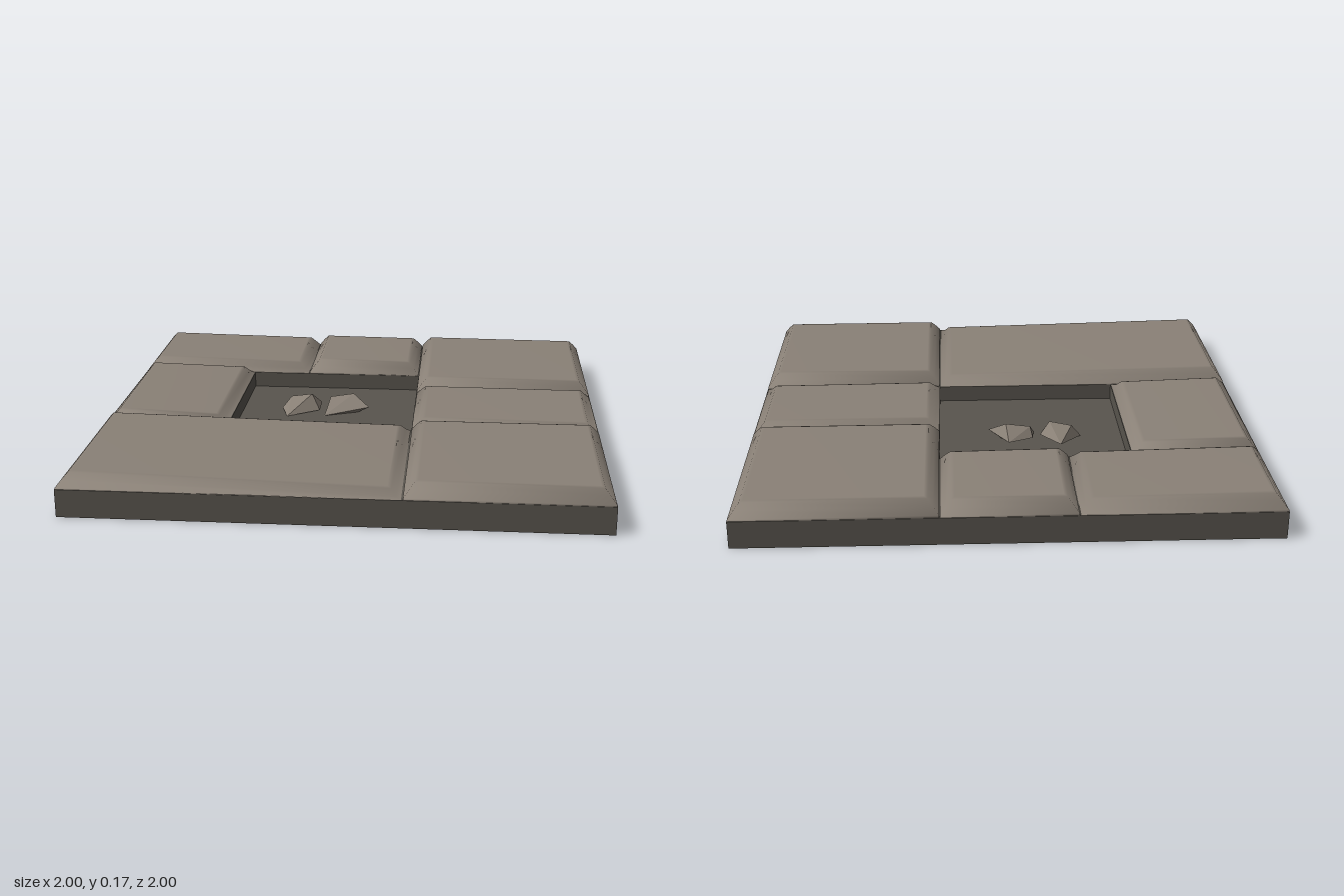
import * as THREE from 'three';
import { ConvexGeometry } from 'three/addons/geometries/ConvexGeometry.js';

const RIM = 0.106, FLOOR = 0.04;

// Bevelled slab: rings of four corners stepping inward and up; tops = heights at the corners
// in the order back-left, back-right, front-right, front-left.
function slabGeometry(x0, x1, z0, z1, tops) {
  const rings = [[0.002, 1], [0.002, 0.052], [0.022, 0.026], [0.042, 0.004], [0.055, 0]]; // inset, drop
  const pos = [], index = [];
  for (const [inset, drop] of rings) {
    const a = x0 + inset, b = x1 - inset, c = z0 + inset, d = z1 - inset;
    [[a, c], [b, c], [b, d], [a, d]].forEach(([x, z], i) =>
      pos.push(x, Math.max(RIM - 0.001, tops[i] - drop), z));
  }
  for (let r = 0; r < rings.length - 1; r++) {
    for (let i = 0; i < 4; i++) {
      const j = (i + 1) % 4, p = r * 4;
      index.push(p + i, p + 4 + i, p + 4 + j, p + i, p + 4 + j, p + j);
    }
  }
  const t = (rings.length - 1) * 4;
  index.push(t, t + 3, t + 2, t, t + 2, t + 1);
  const g = new THREE.BufferGeometry();
  g.setAttribute('position', new THREE.Float32BufferAttribute(pos, 3));
  g.setIndex(index);
  g.computeVertexNormals();
  return g;
}

export function createModel() {
  const model = new THREE.Group();
  const mortar = new THREE.MeshStandardMaterial({ name: 'dark mortar', color: 0x59554e });
  const stone = new THREE.MeshStandardMaterial({ name: 'warm grey stone', color: 0x8a8177 });

  const add = (name, geometry, material) => {
    const mesh = new THREE.Mesh(geometry, material);
    mesh.name = name;
    model.add(mesh);
    return mesh;
  };

  // Base block with a square recess where a slab is missing
  add('baseFloor', new THREE.BoxGeometry(2, FLOOR, 2), mortar).position.y = FLOOR / 2;
  const outline = (Type, x0, x1, y0, y1) => new Type([
    new THREE.Vector2(x0, y0), new THREE.Vector2(x1, y0),
    new THREE.Vector2(x1, y1), new THREE.Vector2(x0, y1),
  ]);
  const frame = outline(THREE.Shape, -1, 1, -1, 1);
  frame.holes.push(outline(THREE.Path, -0.5, 0.25, -0.25, 0.5));
  const rim = new THREE.ExtrudeGeometry(frame, { depth: RIM - FLOOR, bevelEnabled: false });
  rim.rotateX(-Math.PI / 2);
  add('baseRim', rim, mortar).position.y = FLOOR;

  // Slightly tilted paving slabs around the recess
  const slabs = {
    backLeftSlab: [-1, -0.25, -1, -0.5, [0.165, 0.155, 0.15, 0.162]],
    backMiddleSlab: [-0.25, 0.25, -1, -0.5, [0.166, 0.162, 0.16, 0.166]],
    backRightSlab: [0.25, 1, -1, -0.25, [0.168, 0.164, 0.166, 0.168]],
    middleRightSlab: [0.25, 1, -0.25, 0.25, [0.155, 0.152, 0.143, 0.148]],
    frontRightSlab: [0.25, 1, 0.25, 1, [0.167, 0.167, 0.163, 0.165]],
    frontLeftSlab: [-1, 0.25, 0.25, 1, [0.167, 0.146, 0.138, 0.163]],
    middleLeftSlab: [-1, -0.5, -0.5, 0.25, [0.158, 0.148, 0.14, 0.152]],
  };
  for (const [name, args] of Object.entries(slabs)) add(name, slabGeometry(...args), stone);

  // Two broken chips lying in the recess
  const chips = {
    leftChip: [
      [-0.24, 0.06, -0.28], [-0.16, 0.07, -0.2], [-0.165, 0.05, -0.145], [-0.3, 0.04, -0.08],
      [-0.33, 0.05, -0.17], [-0.2, 0.115, -0.17], [-0.29, 0.1, -0.18], [-0.24, 0.04, -0.2],
    ],
    rightChip: [
      [-0.13, 0.06, -0.21], [-0.03, 0.06, -0.255], [0.05, 0.07, -0.14], [-0.14, 0.04, -0.1],
      [-0.12, 0.1, -0.185], [-0.02, 0.115, -0.19], [0, 0.04, -0.16],
    ],
  };
  for (const [name, points] of Object.entries(chips)) {
    add(name, new ConvexGeometry(points.map((p) => new THREE.Vector3(...p))), stone);
  }
  return model;
}
